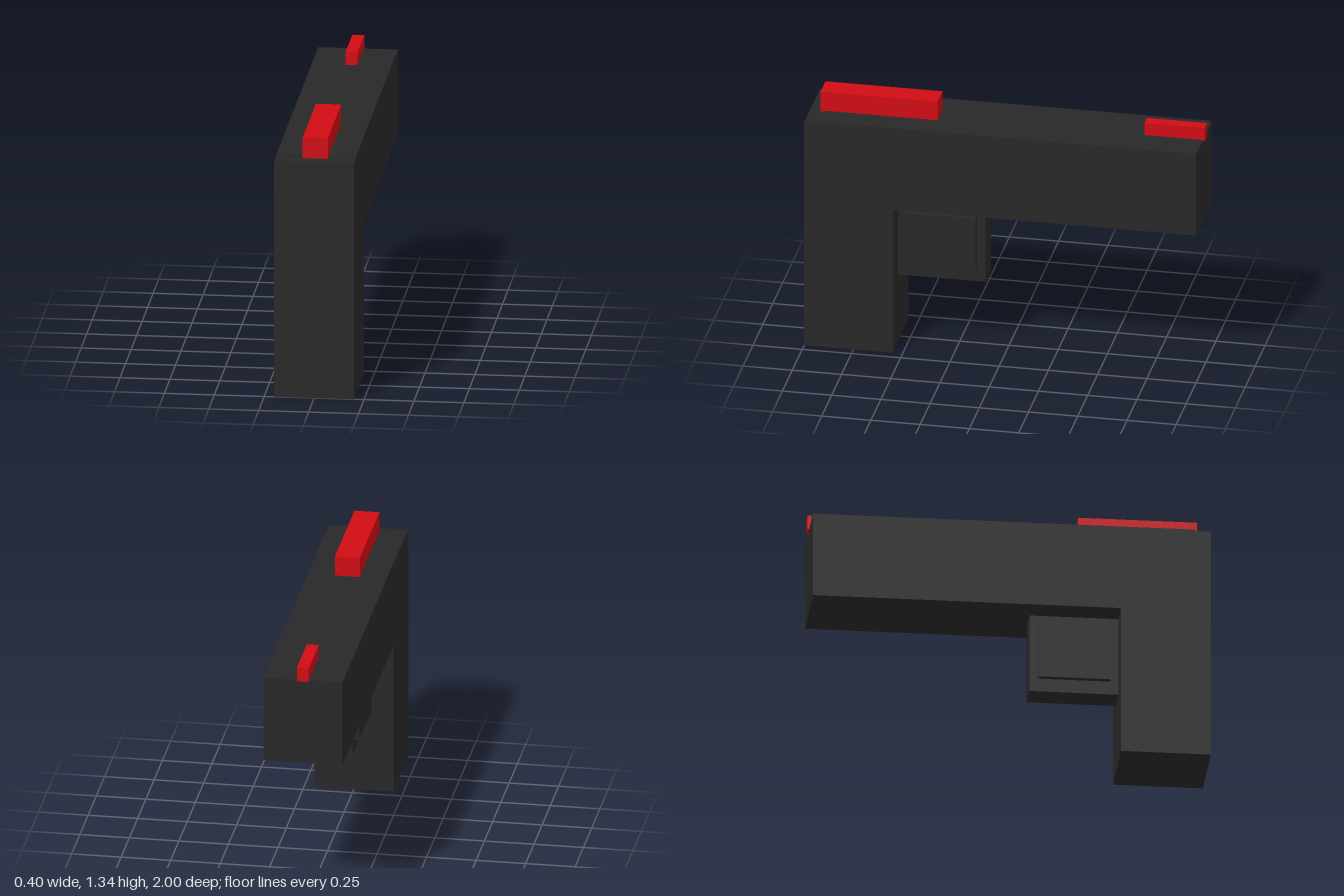
import * as THREE from 'three';

const dark = new THREE.MeshStandardMaterial({ color: 0x282828 });
const red = new THREE.MeshStandardMaterial({ color: 0xd00c14 });

// Box spanning the given ranges, centred on x = 0
function block(name, material, halfWidth, y0, y1, z0, z1) {
  const mesh = new THREE.Mesh(new THREE.BoxGeometry(2 * halfWidth, y1 - y0, z1 - z0), material);
  mesh.position.set(0, (y0 + y1) / 2, (z0 + z1) / 2);
  mesh.name = name;
  return mesh;
}

export function createModel() {
  const model = new THREE.Group();
  model.name = 'blockPistol';
  model.add(
    // Body
    block('grip', dark, 0.2, 0, 1.225, 0.55, 1),
    block('barrel', dark, 0.199, 0.785, 1.233, -0.99, 0.92),
    // Trigger guard with a raised panel on both sides
    block('triggerGuard', dark, 0.067, 0.37, 0.79, 0.105, 0.56),
    block('triggerPanel', dark, 0.095, 0.44, 0.725, 0.15, 0.51),
    // Sights
    block('rearSight', red, 0.063, 1.227, 1.335, 0.35, 0.945),
    block('frontSight', red, 0.03, 1.227, 1.3, -1, -0.695)
  );
  return model;
}
